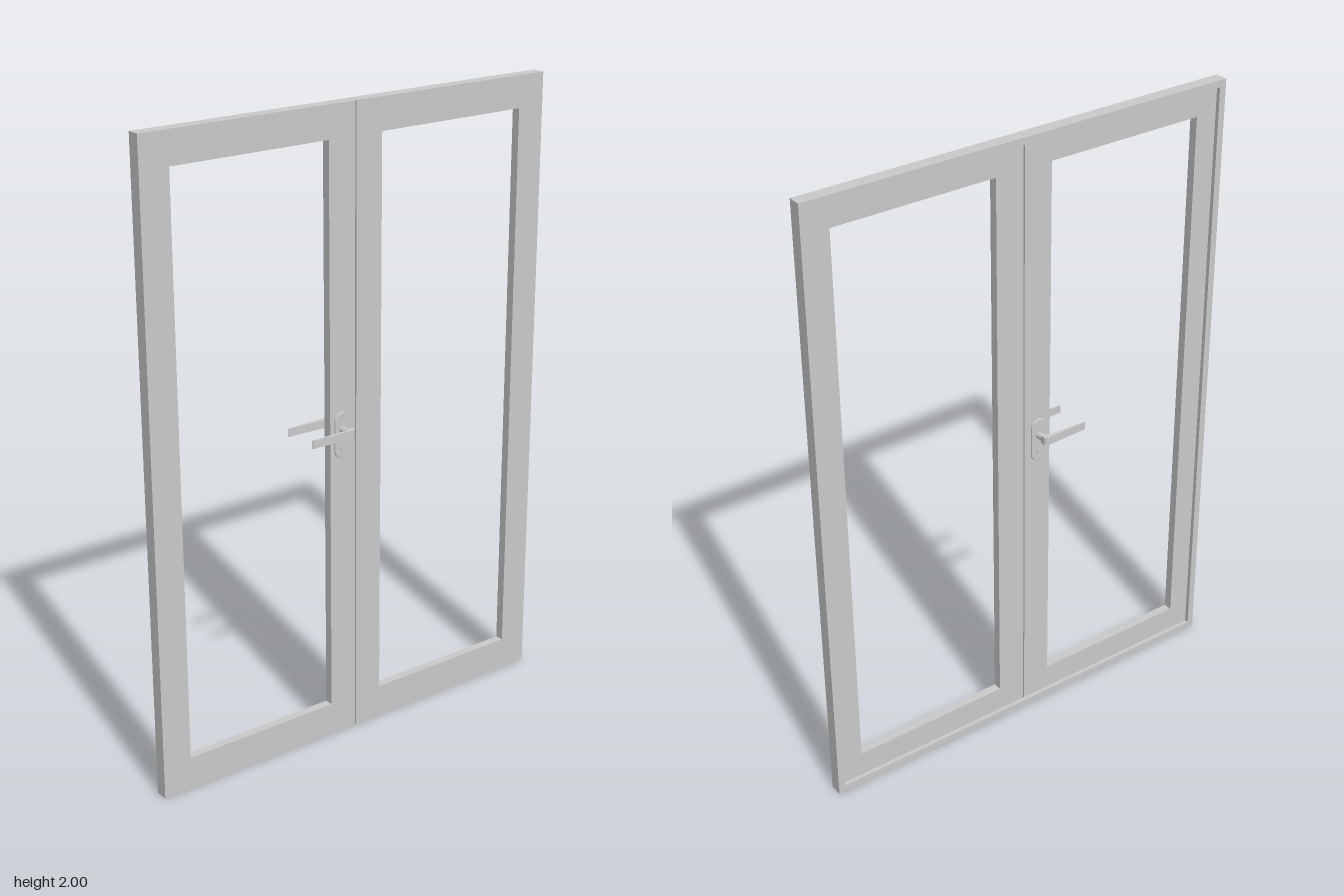
import * as THREE from 'three';

const material = new THREE.MeshStandardMaterial({ color: 0xcccccc });
const FRONT = 0.011, LEAF_BACK = -0.017, BACK = -0.03;
const HALF_W = 0.714, HEIGHT = 2;

function mesh(name, geometry) {
  const m = new THREE.Mesh(geometry, material);
  m.name = name;
  return m;
}

function rectangle(target, x0, y0, x1, y1) {
  target.moveTo(x0, y0).lineTo(x1, y0).lineTo(x1, y1).lineTo(x0, y1).closePath();
  return target;
}

// Flat rectangular frame with one opening, between two depths
function frame(name, outer, inner, z0, z1) {
  const shape = rectangle(new THREE.Shape(), ...outer);
  shape.holes.push(rectangle(new THREE.Path(), ...inner));
  const geo = new THREE.ExtrudeGeometry(shape, { depth: z1 - z0, bevelEnabled: false });
  return mesh(name, geo.translate(0, 0, z0));
}

// Lever handle with backplate; side is +1 for the front and -1 for the back
function handle(side) {
  const group = new THREE.Group();
  group.name = side > 0 ? 'frontHandle' : 'backHandle';
  const face = side > 0 ? FRONT : LEAF_BACK;
  const cx = -0.053, cy = 1.023;

  // Long backplate with rounded ends
  const r = 0.027, reach = 0.046;
  const plate = new THREE.Shape();
  plate.absarc(0, reach, r, 0, Math.PI, false);
  plate.absarc(0, -reach, r, Math.PI, Math.PI * 2, false);
  plate.closePath();
  const plateGeo = new THREE.ExtrudeGeometry(plate, {
    depth: 0.003, bevelEnabled: true, bevelThickness: 0.002, bevelSize: 0.002,
    bevelOffset: -0.002, bevelSegments: 2, curveSegments: 16,
  });
  plateGeo.translate(cx, 1.005, face + (side > 0 ? 0 : -0.003));
  group.add(mesh('backplate', plateGeo));

  // Lock cylinder below the lever
  const lock = new THREE.CylinderGeometry(0.009, 0.009, 0.008, 20).rotateX(Math.PI / 2);
  group.add(mesh('lockCylinder', lock.translate(cx, 0.965, face + side * 0.004)));

  // Round neck
  const end = 0.056 * side;
  const neck = new THREE.CylinderGeometry(0.011, 0.011, Math.abs(end - face), 20).rotateX(Math.PI / 2);
  group.add(mesh('neck', neck.translate(cx, cy, (end + face) / 2)));

  // Tapered grip with a rounded elbow, drawn from above
  const s = side;
  const grip = new THREE.Shape();
  grip.moveTo(-0.195, 0.059 * s);
  grip.lineTo(-0.195, 0.062 * s);
  grip.lineTo(-0.054, 0.068 * s);
  grip.quadraticCurveTo(-0.042, 0.068 * s, -0.042, 0.056 * s);
  grip.lineTo(-0.042, 0.045 * s);
  grip.lineTo(-0.064, 0.045 * s);
  grip.quadraticCurveTo(-0.064, 0.053 * s, -0.072, 0.054 * s);
  grip.closePath();
  const h = 0.026;
  const gripGeo = new THREE.ExtrudeGeometry(grip, { depth: h, bevelEnabled: false, curveSegments: 8 });
  gripGeo.rotateX(Math.PI / 2).translate(0, cy + h / 2, 0);
  group.add(mesh('grip', gripGeo));
  return group;
}

export function createModel() {
  const model = new THREE.Group();
  model.name = 'doubleDoor';

  // Two glazed-style leaves with open panels
  const gap = 0.002;
  model.add(frame('leftLeaf', [gap, 0, HALF_W, HEIGHT], [0.095, 0.105, 0.62, 1.9], LEAF_BACK, FRONT));
  model.add(frame('rightLeaf', [-HALF_W, 0, -gap, HEIGHT], [-0.62, 0.105, -0.095, 1.9], LEAF_BACK, FRONT));

  // Seal closing the slit between the leaves
  const seal = new THREE.BoxGeometry(gap * 2, HEIGHT, 0.016);
  model.add(mesh('centreSeal', seal.translate(0, HEIGHT / 2, -0.003)));

  // Raised surround on the back
  const lip = 0.022;
  model.add(frame('backSurround', [-HALF_W, 0, HALF_W, HEIGHT],
    [-HALF_W + lip, lip, HALF_W - lip, HEIGHT - lip], BACK, LEAF_BACK));

  for (const side of [1, -1]) model.add(handle(side));
  return model;
}
